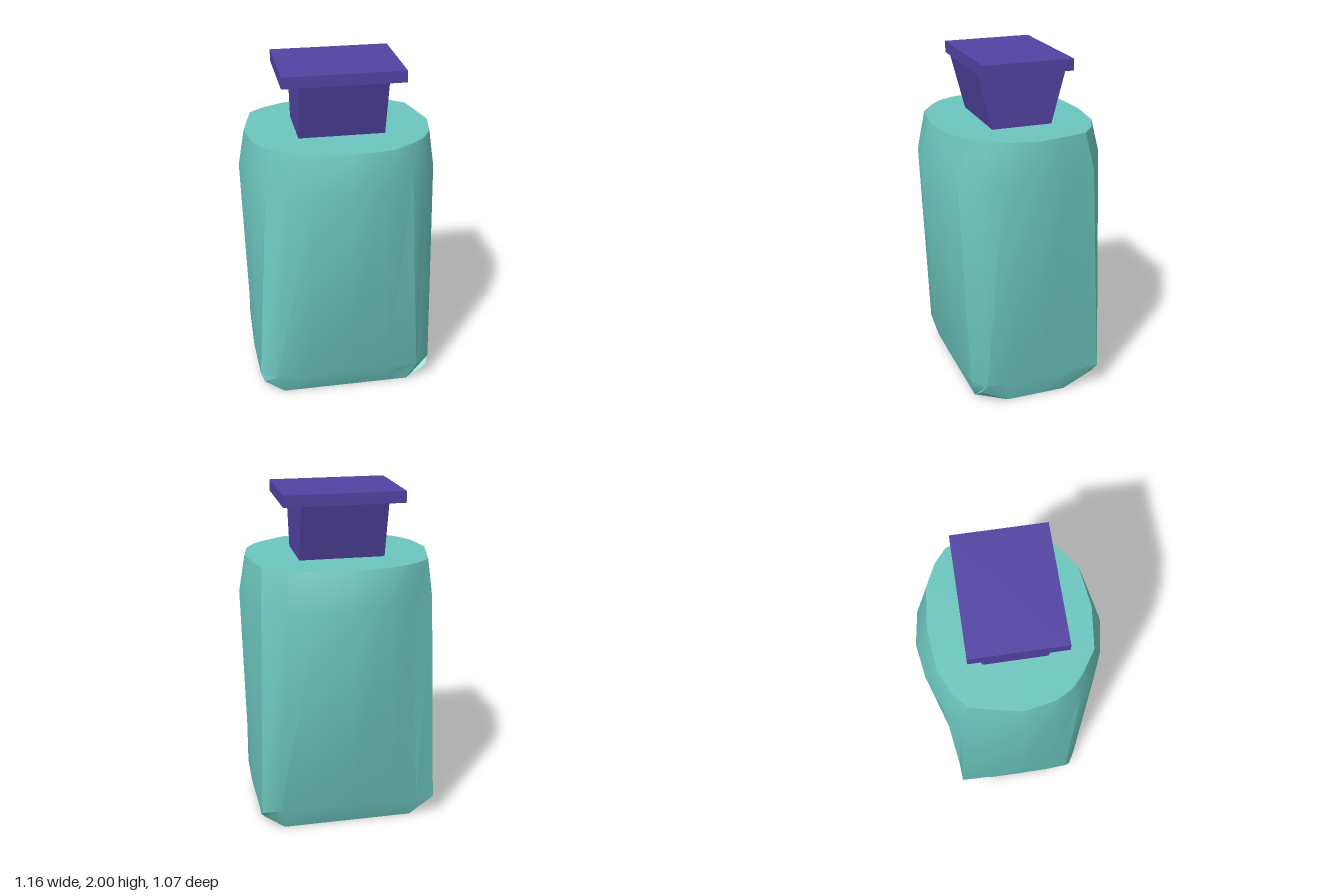
import * as THREE from 'three';
import { toCreasedNormals } from 'three/addons/utils/BufferGeometryUtils.js';

const teal = new THREE.MeshStandardMaterial({ color: 0x6cc6be });
teal.name = 'teal';
const purple = new THREE.MeshStandardMaterial({ color: 0x5243a2 });
purple.name = 'purple';

// Half outlines [x, z] from back centre round the +x side to front centre
const sections = [
  { y: 0, half: [[0, -0.36], [0.2, -0.36], [0.39, -0.36], [0.51, -0.36], [0.51, -0.18], [0.51, 0],
    [0.51, 0.18], [0.51, 0.345], [0.39, 0.35], [0.2, 0.35], [0, 0.35]] },
  { y: 0.13, half: [[0, -0.405], [0.25, -0.405], [0.42, -0.4], [0.53, -0.393], [0.535, -0.2], [0.54, 0],
    [0.535, 0.18], [0.53, 0.315], [0.44, 0.385], [0.25, 0.4], [0, 0.4]] },
  { y: 1.4, half: [[0, -0.535], [0.2, -0.505], [0.36, -0.43], [0.495, -0.34], [0.54, -0.17], [0.58, 0],
    [0.535, 0.21], [0.46, 0.335], [0.36, 0.425], [0.2, 0.495], [0, 0.53]] },
  { y: 1.61, half: [[0, -0.455], [0.25, -0.43], [0.39, -0.365], [0.48, -0.29], [0.512, -0.15], [0.543, 0],
    [0.51, 0.18], [0.455, 0.28], [0.385, 0.345], [0.25, 0.435], [0, 0.465]] },
];
const corners = [3, 7, 13, 17];

function bodyGeometry() {
  const pos = [], index = [], n = 20;
  sections.forEach(({ y, half }, s) => {
    const ring = [...half, ...half.slice(1, -1).reverse().map(([x, z]) => [-x, z])];
    // the four base corners are lifted to form chamfers
    ring.forEach(([x, z], i) => pos.push(x, s === 0 && corners.includes(i) ? 0.085 : y, z));
  });
  for (let s = 0; s < sections.length - 1; s++) {
    for (let i = 0; i < n; i++) {
      const a = s * n + i, b = s * n + (i + 1) % n;
      index.push(a, a + n, b, b, a + n, b + n);
    }
  }
  // Flat shoulder
  const topCentre = pos.length / 3, top = (sections.length - 1) * n;
  pos.push(0, 1.61, 0);
  for (let i = 0; i < n; i++) index.push(topCentre, top + (i + 1) % n, top + i);
  // Base without its corners, then the corner chamfers
  const baseCentre = pos.length / 3;
  pos.push(0, 0, 0);
  const flat = [...Array(n).keys()].filter((i) => !corners.includes(i));
  flat.forEach((a, i) => index.push(baseCentre, a, flat[(i + 1) % flat.length]));
  corners.forEach((c) => index.push(c - 1, c, c + 1));

  const g = new THREE.BufferGeometry();
  g.setAttribute('position', new THREE.Float32BufferAttribute(pos, 3));
  g.setIndex(index);
  return toCreasedNormals(g, THREE.MathUtils.degToRad(34));
}

// Neck block that widens upward in depth
function neckGeometry() {
  const g = new THREE.BoxGeometry(0.5, 0.33, 1);
  const p = g.attributes.position;
  for (let i = 0; i < p.count; i++) {
    p.setZ(i, Math.sign(p.getZ(i)) * (p.getY(i) > 0 ? 0.265 : 0.178));
  }
  g.translate(0, 1.77, 0);
  g.computeVertexNormals();
  return g;
}

export function createModel() {
  const model = new THREE.Group();
  model.name = 'bottle';
  const add = (name, geometry, material, y = 0) => {
    const mesh = new THREE.Mesh(geometry, material);
    mesh.name = name;
    mesh.position.y = y;
    model.add(mesh);
  };
  add('bottleBody', bodyGeometry(), teal);
  add('stopperNeck', neckGeometry(), purple);
  // Stopper plate with a teal underside
  add('stopperPlate', new THREE.BoxGeometry(0.7, 0.067, 0.53),
    [purple, purple, purple, teal, purple, purple], 1.9665);
  return model;
}
